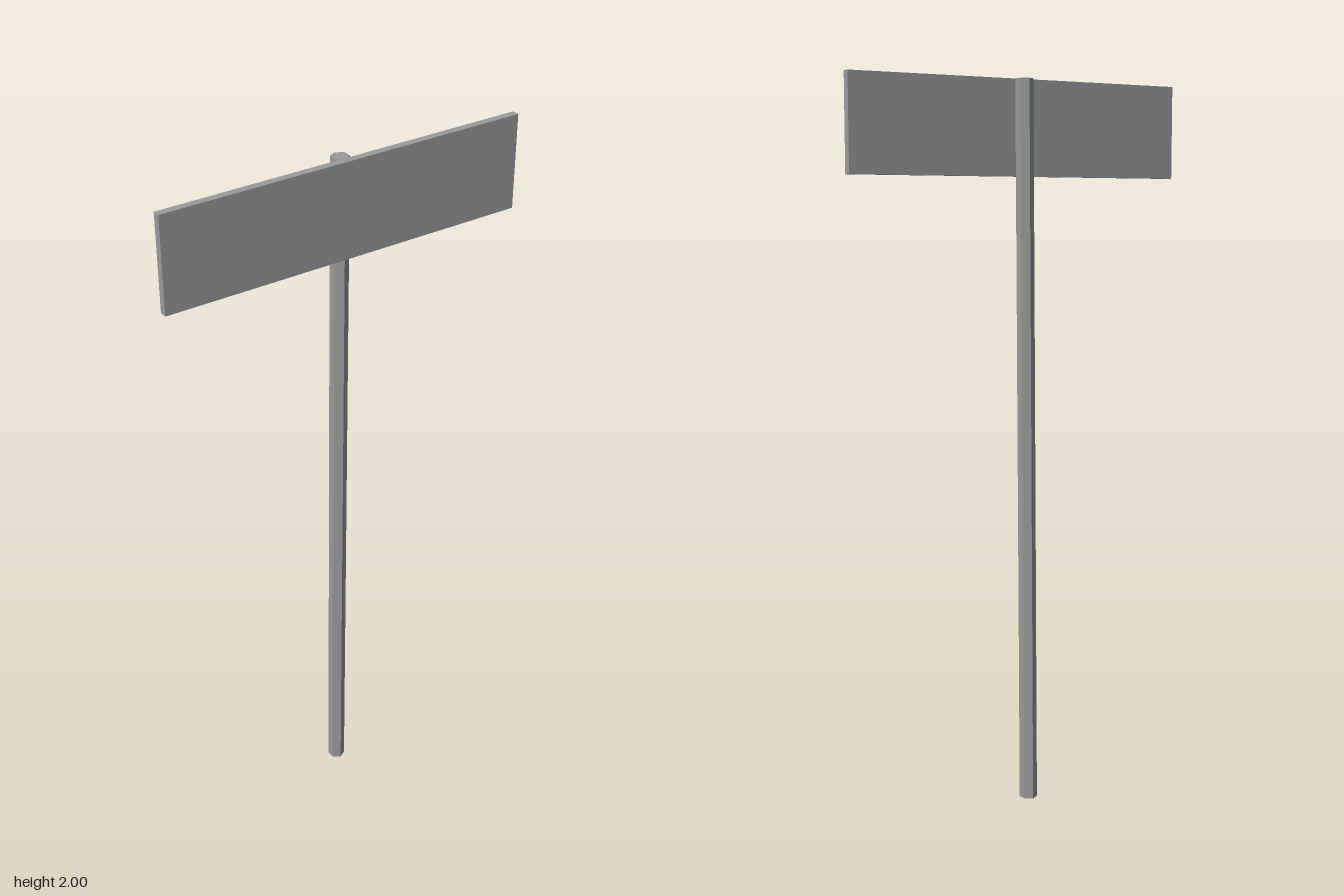
import * as THREE from 'three';

export function createModel() {
  const group = new THREE.Group();
  const greyMetal = new THREE.MeshStandardMaterial({ color: 0x999c9e });
  greyMetal.name = 'greyMetal';
  greyMetal.flatShading = true;

  // Six-sided post, sheared so it leans slightly forward with level ends
  const height = 2, bottomZ = -0.018, topZ = 0.002;
  const postGeometry = new THREE.CylinderGeometry(0.0245, 0.0245, height, 6);
  postGeometry.translate(0, height / 2, 0);
  const p = postGeometry.attributes.position;
  for (let i = 0; i < p.count; i++) {
    p.setZ(i, p.getZ(i) + THREE.MathUtils.lerp(bottomZ, topZ, p.getY(i) / height));
  }
  postGeometry.computeVertexNormals();
  const post = new THREE.Mesh(postGeometry, greyMetal);
  post.name = 'post';
  group.add(post);

  // Wide sign board on the front of the post
  const board = new THREE.Mesh(new THREE.BoxGeometry(1.044, 0.26, 0.021), greyMetal);
  board.name = 'signBoard';
  board.position.set(0, 1.87, 0.0315);
  group.add(board);

  return group;
}
